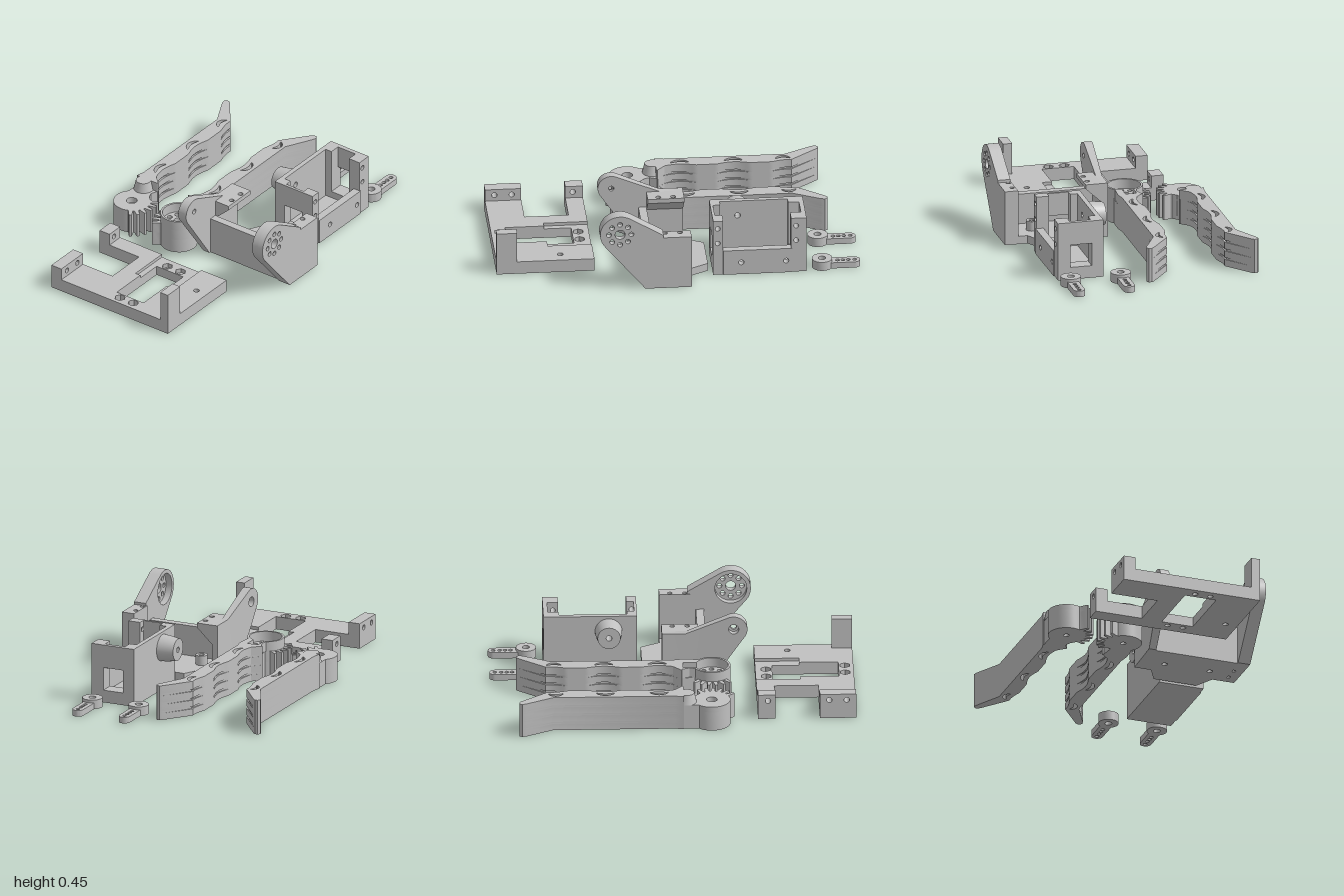
import * as THREE from 'three';
import { toCreasedNormals } from 'three/addons/utils/BufferGeometryUtils.js';

const plastic = new THREE.MeshStandardMaterial({ color: 0xc0c0c0 });
plastic.name = 'grey plastic';

const arc = (u, v, r, a0, a1, n = 20) => Array.from({ length: n + 1 }, (_, i) => {
  const a = a0 + (a1 - a0) * i / n;
  return [u + r * Math.cos(a), v + r * Math.sin(a)];
});
const circle = (u, v, r, n = 24) => arc(u, v, r, 0, Math.PI * 2 * (n - 1) / n, n - 1);
const rect = (u0, u1, v0, v1) => [[u0, v0], [u1, v0], [u1, v1], [u0, v1]];
const ring = (u, v, R, r, n = 8) => circle(u, v, R, n).map(([a, b]) => circle(a, b, r, 16));

export function createModel() {
  const model = new THREE.Group();
  let part;
  const startPart = (name) => {
    part = new THREE.Group();
    part.name = name;
    part.position.x = 0.004;
    model.add(part);
  };
  const add = (name, geo) => {
    const mesh = new THREE.Mesh(toCreasedNormals(geo, 0.5), plastic);
    mesh.name = name;
    part.add(mesh);
    return mesh;
  };
  // Extrude [x, z] outlines along y, or [z, y] outlines along x
  const extrude = (axis, outline, holes, from, to) => {
    const flip = ([u, v]) => axis === 'y' ? new THREE.Vector2(u, -v) : new THREE.Vector2(-u, v);
    const outer = outline.map(flip);
    // A counter-clockwise outline lets the extrusion orient its hole walls correctly
    if (THREE.ShapeUtils.isClockWise(outer)) outer.reverse();
    const shape = new THREE.Shape(outer);
    shape.holes = holes.map((h) => new THREE.Path(h.map(flip)));
    const geo = new THREE.ExtrudeGeometry(shape, { depth: to - from, bevelEnabled: false });
    geo.translate(0, 0, from);
    return axis === 'y' ? geo.rotateX(-Math.PI / 2) : geo.rotateY(Math.PI / 2);
  };
  const up = (name, outline, holes, y0, y1) => add(name, extrude('y', outline, holes, y0, y1));
  const across = (name, outline, holes, x0, x1) => add(name, extrude('x', outline, holes, x0, x1));
  const box = (name, x0, x1, y0, y1, z0, z1) => up(name, rect(x0, x1, z0, z1), [], y0, y1);

  // ---- Base plate with notch, window, nut pockets and recess
  startPart('basePlate');
  const notch = [[-0.425, 1], [-0.425, 0.8], [-0.155, 0.8], [-0.155, 0.557], [-0.425, 0.557], [-0.425, 0.46]];
  const plate = [[0.373, 0.46], [0.373, 1], ...notch];
  const windowHole = rect(-0.037, 0.145, 0.553, 0.918);
  const sideHole = circle(0.303, 0.643, 0.016);
  const nuts = (zs, r, n) => zs.flatMap((z) => [0.01, 0.1].map((x) => circle(x, z, r, n)));
  up('plateBottom', plate, [windowHole, sideHole, ...nuts([0.518, 0.952], 0.016, 20)], 0, 0.03);
  up('plateMiddle', plate, [windowHole, sideHole, ...nuts([0.518, 0.952], 0.03, 6)], 0.03, 0.055);
  up('plateTop', [...plate, [-0.07, 0.46], [-0.07, 0.703], [-0.037, 0.703], [-0.037, 0.918],
    [0.145, 0.918], [0.145, 0.703], [0.2, 0.703], [0.2, 0.46]],
  [sideHole, ...nuts([0.952], 0.03, 6)], 0.055, 0.073);
  across('rearLug', rect(0.46, 0.557, 0.073, 0.143), [circle(0.515, 0.108, 0.015)], -0.425, -0.357);
  across('frontLug', rect(0.8, 1, 0.073, 0.143),
    [circle(0.852, 0.108, 0.015), circle(0.948, 0.108, 0.015)], -0.425, -0.357);
  box('cornerPost', 0.322, 0.373, 0.073, 0.25, 0.887, 1);

  // ---- Wrist bracket: floor, front wall and two arms
  startPart('wristBracket');
  up('floor', [[0.06, 0.17], [0.06, -0.055], [0.125, -0.055], [0.18, -0.16], [0.43, -0.16],
    [0.485, -0.055], [0.55, -0.055], [0.55, 0.17]],
  [circle(0.17, 0.04, 0.016), circle(0.435, 0.04, 0.016)], 0, 0.045);
  for (const x of [0.17, 0.435]) up('screwPost', circle(x, 0.04, 0.033), [circle(x, 0.04, 0.016)], 0.045, 0.1);
  box('frontWall', 0.06, 0.55, 0, 0.217, 0.147, 0.191);
  const armOutline = (r, zBack, tail) => {
    const c = 0.34;
    const tangent = (z, y, s) => Math.atan2(y - c, z - c) + s * Math.acos(r / Math.hypot(z - c, y - c));
    const low = tangent(0.2, 0, 1), high = tangent(0.075, 0.31, -1) + Math.PI * 2;
    return [[zBack, 0], [0.2, 0], ...arc(c, c, r, low, high, 28), ...tail];
  };
  const hornArm = armOutline(0.11, 0.1, [[0.1, 0.325]]);
  across('hornArmInner', hornArm, [circle(0.34, 0.34, 0.088, 36)], 0.541, 0.578);
  across('hornArmOuter', hornArm, [circle(0.34, 0.34, 0.028), ...ring(0.34, 0.34, 0.062, 0.014)], 0.578, 0.612);
  up('hornArmRoot', rect(0.537, 0.612, -0.055, 0.115),
    [circle(0.556, 0.005, 0.013), circle(0.556, 0.087, 0.013)], 0, 0.31);
  const pivotArm = armOutline(0.075, -0.055, [[0.075, 0.31], [-0.055, 0.31]]);
  across('pivotArmInner', pivotArm, [circle(0.34, 0.34, 0.015)], 0.045, 0.062);
  const pivot = across('pivotArmOuter', pivotArm, [circle(0.34, 0.34, 0.028)], 0.028, 0.045);
  // The outer face flares outward towards the pivot
  const pos = pivot.geometry.attributes.position;
  for (let i = 0; i < pos.count; i++) {
    if (pos.getX(i) < 0.04) pos.setX(i, 0.028 - 0.02 * THREE.MathUtils.clamp((pos.getZ(i) - 0.05) / 0.36, 0, 1));
  }
  pivot.geometry = toCreasedNormals(pivot.geometry, 0.5);
  up('flangeTop', rect(0.062, 0.153, -0.055, 0.147), [circle(0.13, 0.005, 0.014), circle(0.13, 0.087, 0.014)], 0.285, 0.31);
  const gusset = new THREE.Shape([[0.062, 0.2], [0.153, 0.285], [0.062, 0.285]].map((p) => new THREE.Vector2(...p)));
  add('flangeGusset', new THREE.ExtrudeGeometry(gusset, { depth: 0.202, bevelEnabled: false }).translate(0, 0, -0.055));

  // ---- Servo holder: open box with cut-down side and pivot boss
  startPart('servoHolder');
  box('holderFloor', 0.223, 0.482, 0, 0.03, -0.7, -0.185);
  across('highWall', rect(-0.7, -0.185, 0, 0.33), [circle(-0.34, 0.24, 0.016)], 0.223, 0.25);
  across('lowWall', rect(-0.62, -0.24, 0, 0.147),
    [circle(-0.34, 0.072, 0.015), circle(-0.587, 0.072, 0.015)], 0.443, 0.487);
  for (const [z0, z1, s0, s1, zh] of [[-0.7, -0.615, -0.7, -0.675, -0.643], [-0.24, -0.185, -0.2, -0.185, -0.21]]) {
    box('endCheek', 0.25, 0.29, 0, 0.33, z0, z1);
    across('screwCheek', rect(z0, z1, 0, 0.33), [circle(zh, 0.193, 0.014), circle(zh, 0.283, 0.014)], 0.41, 0.482);
    box('endSill', 0.29, 0.41, 0, 0.07, z0, z1);
    box('endSkin', 0.29, 0.41, 0.2, 0.33, s0, s1);
  }
  const bossProfile = [[0.016, 0], [0.075, 0], [0.073, 0.03], [0.063, 0.095], [0.016, 0.095], [0.016, 0]];
  add('pivotBoss', new THREE.LatheGeometry(bossProfile.map((p) => new THREE.Vector2(...p)), 32)
    .rotateZ(Math.PI / 2).translate(0.223, 0.24, -0.342));

  // ---- Gripper fingers: scalloped bars built in ribbed layers
  const inner = (z, depth) => -0.155 + depth * [-0.68, -0.38, -0.08].reduce(
    (s, c) => s + Math.max(0, Math.cos(Math.PI / 2 * Math.min(1, Math.abs(z - c) / 0.09))), 0);
  const fingerOutline = (depth) => {
    const edge = Array.from({ length: 57 }, (_, i) => -0.7 + i * 0.0125).map((z) => [inner(z, depth), z]);
    return [[-0.058, 0.05], [-0.068, 0], [-0.068, -0.67], [0.01, -0.82], [0.016, -0.842], [0.006, -0.858],
      [-0.01, -0.858], [-0.023, -0.848], ...edge, [-0.2, 0.045], [-0.19, 0.05]];
  };
  const slot = (z, half, dx) => {
    const side = (w) => Array.from({ length: 9 }, (_, i) => {
      const t = i / 4 - 1;
      return [-0.098 + dx - 0.019 * t * t + w * Math.sqrt(1.15 - t * t), z + t * half];
    });
    return [...side(0.01), ...side(-0.01).reverse()];
  };
  const slots = [slot(-0.655, 0.04, 0.002), slot(-0.38, 0.05, 0), slot(-0.085, 0.05, 0)];
  const finger = (mirror) => {
    const m = (pts) => mirror ? pts.map(([x, z]) => [-0.604 - x, z]) : pts;
    for (let i = 0; i < 4; i++) {
      const y = i * 0.05;
      up('fingerRib', m(fingerOutline(0.018)), slots.map(m), y, y + 0.038 + (i === 3 ? 0.009 : 0));
      if (i < 3) up('fingerGroove', m(fingerOutline(0.028)), slots.map(m), y + 0.038, y + 0.05);
    }
  };
  // Round hub with a sector of teeth; angles run from +x towards +z
  const gear = (x, z, mid, count) => {
    const pitch = 0.3, start = mid - count * pitch / 2, pts = [];
    for (let i = 0; i < count; i++) {
      [[0, 0.105], [0.16, 0.11], [0.26, 0.135], [0.36, 0.148], [0.64, 0.148], [0.74, 0.135], [0.84, 0.11]].forEach(([f, r]) => {
        const a = start + (i + f) * pitch;
        pts.push([x + r * Math.cos(a), z + r * Math.sin(a)]);
      });
    }
    return [...pts, ...arc(x, z, 0.102, start + count * pitch, start + Math.PI * 2 - 0.02, 32)];
  };

  startPart('idleFinger');
  finger(true);
  const idle = gear(-0.467, 0.205, 0.24, 6);
  up('gearBottom', idle, [circle(-0.467, 0.205, 0.016)], 0, 0.11);
  up('gearTop', idle, [circle(-0.467, 0.205, 0.03)], 0.11, 0.142);
  up('neck', [[-0.54, 0.04], [-0.405, 0.04], [-0.425, 0.085], [-0.41, 0.125], [-0.54, 0.14]], [], 0, 0.142);
  add('neckFillet', new THREE.CylinderGeometry(0.042, 0.055, 0.055, 24).translate(-0.49, 0.1695, 0.066));

  startPart('drivenFinger');
  finger(false);
  const hx = -0.137, hz = 0.215;
  const drivenGear = gear(hx, hz, Math.PI, 6);
  up('drivenGearBottom', drivenGear, [circle(hx, hz, 0.016)], 0, 0.08);
  up('drivenGearTop', drivenGear, [circle(hx, hz, 0.028), ...ring(hx, hz, 0.062, 0.014)], 0.08, 0.142);
  up('drivenNeck', [[-0.19, 0.045], [-0.058, 0.045], [-0.06, 0.14], [-0.175, 0.14]], [], 0, 0.142);
  // Hub rim with a keyhole pocket for a servo horn
  up('hubRim', [[-0.19, 0.05], [-0.058, 0.05], ...arc(hx, hz, 0.102, -0.78, Math.PI + 1.12, 36), [-0.175, 0.09]],
    [[[-0.165, 0.056], [-0.102, 0.056], ...arc(hx, hz, 0.09, -1.19, Math.PI + 1.23, 36)]], 0.142, 0.197);

  // ---- Two loose servo horns
  for (const x of [0.149, 0.433]) {
    startPart('servoHorn');
    up('hornDisc', circle(x, -0.79, 0.056, 32), [circle(x, -0.79, 0.02)], 0, 0.052);
    up('hornArm', [[x + 0.032, -0.825], ...arc(x, -0.968, 0.032, 0, -Math.PI, 14), [x - 0.032, -0.825]],
      [-0.97, -0.935, -0.905, -0.875].map((z) => circle(x, z, 0.011, 12)), 0, 0.035);
  }
  return model;
}
